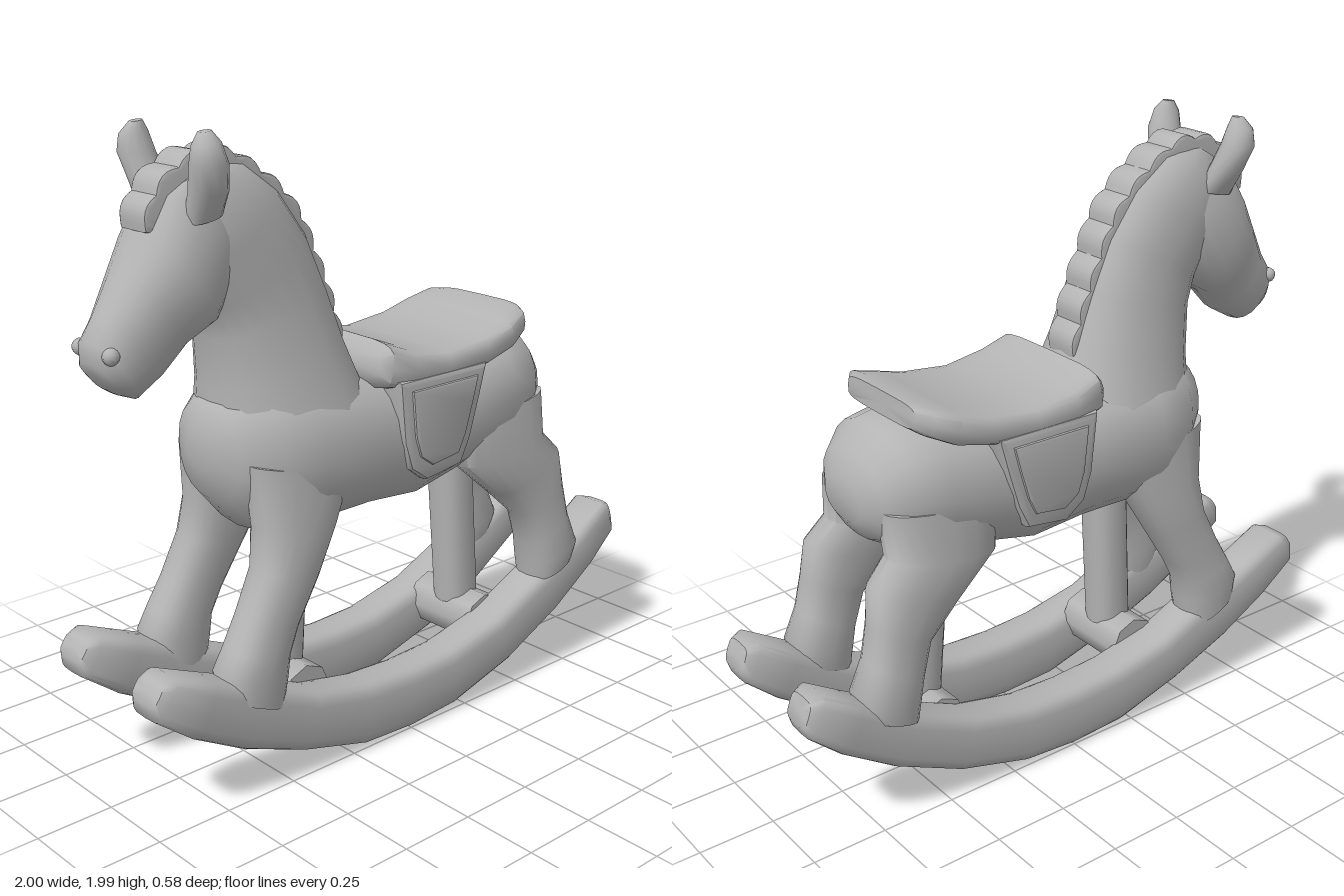
import * as THREE from 'three';
import { toCreasedNormals } from 'three/addons/utils/BufferGeometryUtils.js';

const wood = new THREE.MeshStandardMaterial({ color: 0xb4b4b4 });
wood.name = 'plain grey';

// Loft through rings. Each row is [px, py, qx, qy, halfWidth, z]: the ring spans
// p to q in the side plane and halfWidth either way in z. power > 2 squares it off.
function loft(rows, power = 2, side = 1, sides = 20) {
  const pos = [], index = [];
  for (const [px, py, qx, qy, w, z = 0] of rows) {
    for (let i = 0; i < sides; i++) {
      const a = (i / sides) * Math.PI * 2;
      const bend = (v) => Math.sign(v) * Math.abs(v) ** (2 / power);
      const t = (1 + bend(Math.cos(a))) / 2;
      pos.push(px + (qx - px) * t, py + (qy - py) * t, side * (z + w * bend(Math.sin(a))));
    }
  }
  for (let r = 0; r < rows.length - 1; r++) {
    for (let i = 0; i < sides; i++) {
      const a = r * sides + i, b = r * sides + ((i + 1) % sides);
      index.push(a, b, b + sides, a, b + sides, a + sides);
    }
  }
  // End caps
  [0, rows.length - 1].forEach((r, end) => {
    const [px, py, qx, qy, , z = 0] = rows[r];
    const c = pos.length / 3;
    pos.push((px + qx) / 2, (py + qy) / 2, side * z);
    for (let i = 0; i < sides; i++) {
      const a = r * sides + i, b = r * sides + ((i + 1) % sides);
      if (end) index.push(a, b, c); else index.push(b, a, c);
    }
  });
  // Turn the faces outward, using the sign of the enclosed volume
  const v = (i) => new THREE.Vector3().fromArray(pos, i * 3);
  let volume = 0;
  for (let i = 0; i < index.length; i += 3) {
    volume += v(index[i]).dot(v(index[i + 1]).cross(v(index[i + 2])));
  }
  if (volume < 0) index.reverse();
  const geo = new THREE.BufferGeometry();
  geo.setAttribute('position', new THREE.Float32BufferAttribute(pos, 3));
  geo.setIndex(index);
  return toCreasedNormals(geo, 0.9);
}

// Bevelled plate in the side plane, centred on z
function plate(points, depth, bevel, z = 0) {
  const shape = new THREE.Shape(points.map(([x, y]) => new THREE.Vector2(x, y)));
  const geo = new THREE.ExtrudeGeometry(shape, {
    depth: depth - 2 * bevel, bevelThickness: bevel, bevelSize: bevel, bevelOffset: -bevel, bevelSegments: 2,
  });
  return geo.translate(0, 0, z - depth / 2 + bevel);
}

export function createModel() {
  const horse = new THREE.Group();
  horse.name = 'rockingHorse';
  const add = (name, geo) => {
    const mesh = new THREE.Mesh(geo, wood);
    mesh.name = name;
    horse.add(mesh);
    return mesh;
  };

  // Barrel from chest to rump
  add('body', loft([
    [-0.63, 0.98, -0.63, 1.1, 0.07],
    [-0.6, 0.88, -0.6, 1.18, 0.15],
    [-0.5, 0.77, -0.5, 1.25, 0.23],
    [-0.35, 0.75, -0.35, 1.25, 0.265],
    [-0.1, 0.75, -0.1, 1.22, 0.25],
    [0.1, 0.735, 0.1, 1.2, 0.25],
    [0.3, 0.78, 0.3, 1.22, 0.25],
    [0.46, 0.82, 0.46, 1.25, 0.255],
    [0.58, 0.85, 0.59, 1.23, 0.225],
    [0.65, 0.89, 0.66, 1.16, 0.17],
    [0.69, 0.95, 0.695, 1.09, 0.1],
  ], 2.3));

  add('neck', loft([
    [-0.6, 1.02, -0.06, 1.14, 0.24],
    [-0.595, 1.22, -0.14, 1.33, 0.19],
    [-0.61, 1.38, -0.19, 1.48, 0.16],
    [-0.64, 1.46, -0.26, 1.65, 0.145],
    [-0.73, 1.56, -0.36, 1.79, 0.14],
    [-0.78, 1.7, -0.48, 1.88, 0.12],
    [-0.74, 1.82, -0.6, 1.9, 0.07],
  ], 2.3));

  add('head', loft([
    [-0.66, 1.89, -0.5, 1.8, 0.08],
    [-0.77, 1.82, -0.5, 1.6, 0.135],
    [-0.83, 1.71, -0.61, 1.43, 0.16],
    [-0.89, 1.6, -0.71, 1.38, 0.135],
    [-0.96, 1.49, -0.78, 1.3, 0.1],
    [-0.995, 1.43, -0.87, 1.25, 0.1],
    [-1.0, 1.37, -0.92, 1.27, 0.075],
    [-0.985, 1.34, -0.95, 1.29, 0.04],
  ], 2.3));

  // Mane and forelock: scalloped along the crest
  const crest = new THREE.CatmullRomCurve3([
    [-0.84, 1.72], [-0.8, 1.82], [-0.7, 1.9], [-0.57, 1.92], [-0.43, 1.85],
    [-0.3, 1.73], [-0.22, 1.57], [-0.16, 1.42], [-0.12, 1.29],
  ].map(([x, y]) => new THREE.Vector3(x, y, 0)));
  const outline = [];
  const steps = 66, locks = 11;
  for (let i = 0; i <= steps; i++) {
    const t = i / steps, p = crest.getPointAt(t), d = crest.getTangentAt(t);
    const bump = 0.018 * Math.abs(Math.sin(t * locks * Math.PI)) - 0.008;
    outline.push([p.x - d.y * bump, p.y + d.x * bump]);
  }
  outline.push([-0.3, 1.3], [-0.4, 1.6], [-0.6, 1.76], [-0.76, 1.7]);
  add('mane', toCreasedNormals(plate(outline, 0.125, 0.01), 0.6));

  // Seat draped over the back
  add('saddle', loft([
    [-0.13, 1.2, -0.11, 1.28, 0.22],
    [-0.1, 1.16, -0.08, 1.31, 0.25],
    [0.0, 1.14, 0.01, 1.275, 0.26],
    [0.15, 1.14, 0.15, 1.25, 0.26],
    [0.32, 1.16, 0.32, 1.268, 0.26],
    [0.44, 1.19, 0.43, 1.3, 0.255],
    [0.52, 1.23, 0.51, 1.325, 0.23],
    [0.55, 1.25, 0.545, 1.325, 0.18],
  ], 4.5));

  for (const side of [1, -1]) {
    const label = side > 0 ? 'left' : 'right';

    add(label + 'Ear', loft([
      [-0.73, 1.73, -0.61, 1.75, 0.045, 0.1],
      [-0.735, 1.82, -0.62, 1.82, 0.055, 0.14],
      [-0.75, 1.9, -0.64, 1.9, 0.055, 0.17],
      [-0.745, 1.95, -0.66, 1.96, 0.04, 0.17],
      [-0.72, 1.985, -0.68, 1.99, 0.018, 0.16],
    ], 2, side, 12));

    const nostril = add(label + 'Nostril', new THREE.SphereGeometry(0.025, 10, 8));
    nostril.position.set(-0.97, 1.4, side * 0.075);

    add(label + 'Foreleg', loft([
      [-0.58, 1.02, -0.2, 0.94, 0.08, 0.16],
      [-0.56, 0.82, -0.28, 0.79, 0.09, 0.17],
      [-0.575, 0.7, -0.37, 0.64, 0.085, 0.185],
      [-0.64, 0.57, -0.45, 0.51, 0.08, 0.19],
      [-0.69, 0.48, -0.49, 0.43, 0.085, 0.195],
      [-0.73, 0.41, -0.5, 0.36, 0.09, 0.195],
      [-0.72, 0.34, -0.52, 0.26, 0.085, 0.195],
    ], 2.5, side));

    add(label + 'HindLeg', loft([
      [0.26, 0.98, 0.66, 1.02, 0.09, 0.15],
      [0.28, 0.82, 0.65, 0.87, 0.095, 0.17],
      [0.43, 0.69, 0.72, 0.8, 0.09, 0.18],
      [0.54, 0.59, 0.735, 0.68, 0.08, 0.19],
      [0.575, 0.48, 0.755, 0.57, 0.085, 0.195],
      [0.59, 0.41, 0.8, 0.46, 0.095, 0.195],
      [0.6, 0.34, 0.78, 0.4, 0.085, 0.195],
    ], 2.5, side));

    // Hanging flap with a raised panel below the seat
    const flap = [[-0.07, 1.19], [-0.05, 0.99], [-0.02, 0.9], [0.05, 0.85],
      [0.2, 0.87], [0.24, 0.95], [0.28, 1.08], [0.31, 1.19]];
    add(label + 'Flap', toCreasedNormals(plate(flap, 0.1, 0.02, side * 0.215), 0.6));
    const panel = flap.map(([x, y]) => [0.11 + (x - 0.11) * 0.75, 1.05 + (y - 1.05) * 0.75]);
    add(label + 'FlapPanel', toCreasedNormals(plate(panel, 0.03, 0.008, side * 0.258), 0.6));

    // Curved runner
    add(label + 'Rocker', loft([
      [-1.0, 0.42, -0.96, 0.48, 0.06, 0.19],
      [-0.99, 0.37, -0.92, 0.49, 0.08, 0.19],
      [-0.86, 0.27, -0.78, 0.43, 0.08, 0.19],
      [-0.68, 0.17, -0.59, 0.35, 0.08, 0.19],
      [-0.45, 0.08, -0.39, 0.26, 0.08, 0.19],
      [-0.2, 0.01, -0.18, 0.22, 0.08, 0.19],
      [0, 0, 0, 0.21, 0.08, 0.19],
      [0.2, 0.015, 0.18, 0.217, 0.08, 0.19],
      [0.46, 0.09, 0.4, 0.265, 0.08, 0.19],
      [0.7, 0.205, 0.61, 0.36, 0.08, 0.19],
      [0.88, 0.325, 0.8, 0.47, 0.08, 0.19],
      [0.985, 0.42, 0.93, 0.55, 0.078, 0.19],
      [1.0, 0.46, 0.97, 0.54, 0.055, 0.19],
    ], 4, side));
  }

  // Centre posts standing on crossbars between the runners
  for (const [label, topX, footX] of [['front', -0.31, -0.35], ['rear', 0.4, 0.455]]) {
    add(label + 'Post', loft([
      [topX - 0.07, 0.9, topX + 0.07, 0.9, 0.075],
      [footX - 0.07, 0.22, footX + 0.07, 0.22, 0.07],
    ], 2.5));
    const bar = add(label + 'Crossbar', new THREE.CylinderGeometry(0.09, 0.09, 0.28, 8));
    bar.rotation.x = Math.PI / 2;
    bar.position.set(footX, 0.21, 0);
  }
  return horse;
}
